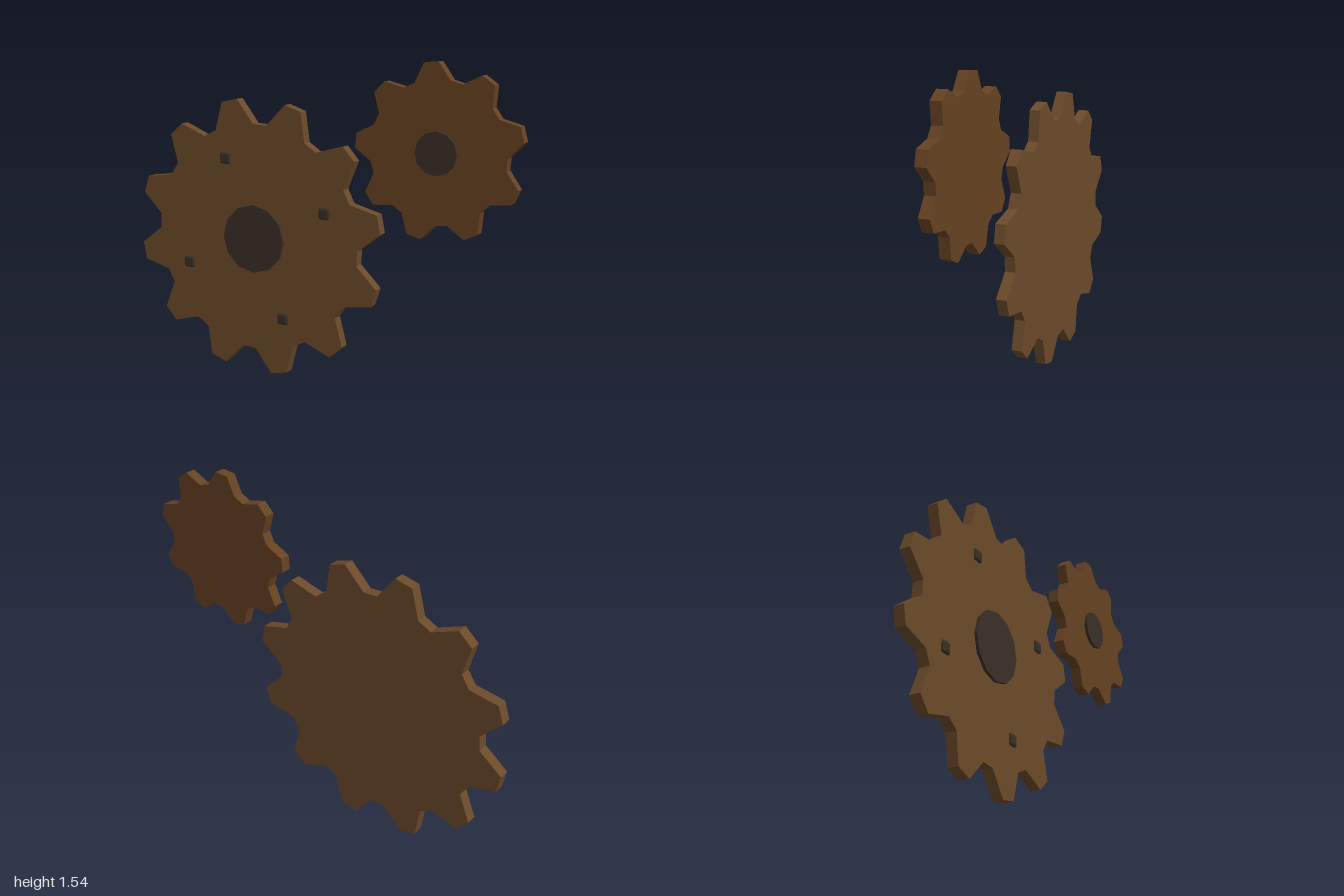
import * as THREE from 'three';
import { RoundedBoxGeometry } from 'three/addons/geometries/RoundedBoxGeometry.js';

const THICK = 0.052;
const mat = (color) => new THREE.MeshStandardMaterial({ color, flatShading: true });
const largeWood = mat(0x6b4a2a), smallWood = mat(0x664222), iron = mat(0x3a2f27);

function add(parent, name, geometry, material, x = 0, y = 0, z = 0) {
  const mesh = new THREE.Mesh(geometry, material);
  mesh.name = name;
  mesh.position.set(x, y, z);
  parent.add(mesh);
  return mesh;
}

// Cog outline: each tooth has two tip points then two root points, evenly spaced
function cogGeometry(teeth, tipR, rootR, startDeg) {
  const pts = [];
  const n = teeth * 4;
  for (let i = 0; i < n; i++) {
    const a = THREE.MathUtils.degToRad(startDeg) + (i / n) * Math.PI * 2;
    const r = i % 4 < 2 ? tipR : rootR;
    pts.push(new THREE.Vector2(Math.cos(a) * r, Math.sin(a) * r));
  }
  return new THREE.ExtrudeGeometry(new THREE.Shape(pts), { depth: THICK, bevelEnabled: false });
}

// Cog plate with a raised twelve-sided hub on its front face
function makeCog(name, o) {
  const cog = new THREE.Group();
  cog.name = name;
  cog.position.set(o.x, o.y, o.z);
  add(cog, 'toothedPlate', cogGeometry(o.teeth, o.tipR, o.rootR, o.start), o.material);
  const hub = new THREE.CylinderGeometry(o.hubR, o.hubR, 0.03, 12).rotateX(Math.PI / 2);
  add(cog, 'hub', hub, iron, 0, 0, THICK + o.hubRise - 0.015);
  return cog;
}

export function createModel() {
  const model = new THREE.Group();
  model.name = 'gearPair';

  const large = makeCog('largeGear', {
    x: -0.331, y: 0.669, z: -0.046, teeth: 12, tipR: 0.675, rootR: 0.555,
    start: 97.5, hubR: 0.167, hubRise: 0.014, material: largeWood,
  });
  // Four small square studs around the large hub
  const stud = new RoundedBoxGeometry(0.056, 0.056, 0.04, 1, 0.01);
  for (let i = 0; i < 4; i++) {
    const a = THREE.MathUtils.degToRad(22.5 + i * 90);
    add(large, 'stud', stud, iron, Math.cos(a) * 0.413, Math.sin(a) * 0.413, THICK - 0.009);
  }
  model.add(large);

  // Small gear sits slightly further forward
  model.add(makeCog('smallGear', {
    x: 0.612, y: 1.15, z: -0.021, teeth: 9, tipR: 0.391, rootR: 0.318,
    start: 90, hubR: 0.097, hubRise: 0.015, material: smallWood,
  }));
  return model;
}
